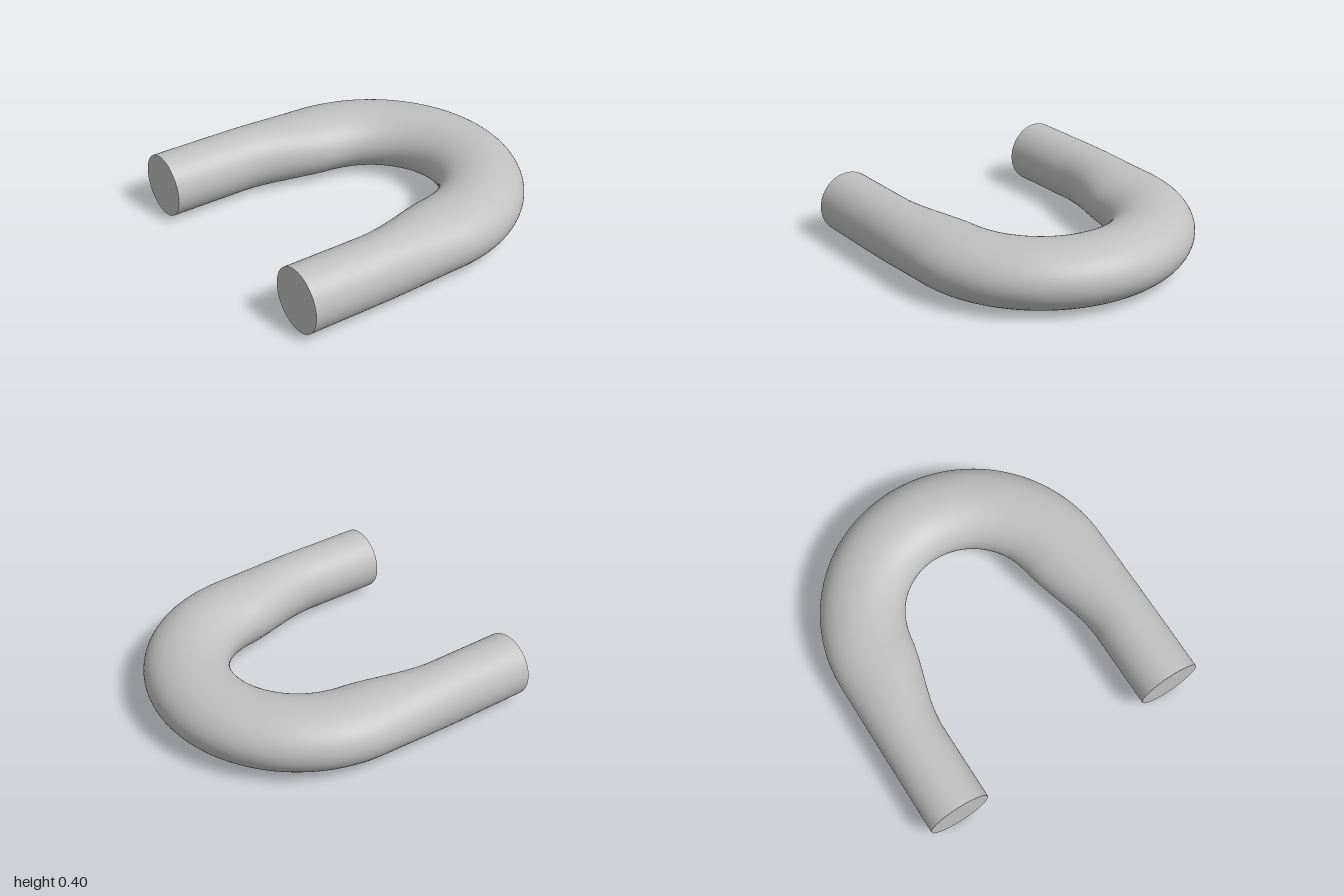
import * as THREE from 'three';

const OUTER = 0.95;      // outer radius of the bend and half width of the whole
const INNER = 0.42;      // inner radius of the bend
const LEG_INNER = 0.555; // inner side of the straight legs
const BEND_Z = -0.05;    // centre of the bend
const TAPER_Z = 0.5;     // where the legs begin to widen
const HALF_HEIGHT = 0.2;
const SIDES = 64;

// Inner side of a leg: straight, then an S-curve into the bend
function legInner(z) {
  const t = Math.max(0, (TAPER_Z - z) / (TAPER_Z - BEND_Z));
  return LEG_INNER - 0.127 * (3 * t * t - 2 * t ** 3) - 0.11 * (t ** 3 - t * t);
}

// Inner radius of the bend, settling just after the leg joins it
function bendInner(angle) {
  const fromEnd = Math.min(angle, Math.PI - angle);
  return INNER + 0.008 * Math.max(0, 1 - fromEnd / 0.3) ** 2;
}

// Cross-sections from the left leg's end, around the bend, to the right leg's end
function sections() {
  const list = [];
  const legZ = [1, 0.75];
  for (let i = 0; i < 24; i++) legZ.push(TAPER_Z + (BEND_Z - TAPER_Z) * i / 24);
  for (const z of legZ) list.push({ inner: legInner(z), dx: 1, dz: 0, z });
  for (let i = 0; i <= 72; i++) {
    const a = Math.PI * i / 72;
    list.push({ inner: bendInner(a), dx: Math.cos(a), dz: -Math.sin(a), z: BEND_Z });
  }
  for (const z of legZ.reverse()) list.push({ inner: legInner(z), dx: -1, dz: 0, z });
  return list;
}

// Smooth skin of elliptical rings
function tubeGeometry() {
  const rings = sections(), pos = [], index = [];
  rings.forEach((s, i) => {
    const mid = (OUTER + s.inner) / 2, half = (OUTER - s.inner) / 2;
    for (let j = 0; j < SIDES; j++) {
      const t = 2 * Math.PI * j / SIDES;
      const r = mid + half * Math.cos(t);
      pos.push(s.dx * r, HALF_HEIGHT * (1 + Math.sin(t)), s.z + s.dz * r);
      if (i === rings.length - 1) continue;
      const a = i * SIDES + j, b = i * SIDES + (j + 1) % SIDES;
      index.push(a, a + SIDES, b, b, a + SIDES, b + SIDES);
    }
  });
  const g = new THREE.BufferGeometry();
  g.setAttribute('position', new THREE.Float32BufferAttribute(pos, 3));
  g.setIndex(index);
  g.computeVertexNormals();
  return g;
}

export function createModel() {
  const group = new THREE.Group();
  group.name = 'bentBar';
  const grey = new THREE.MeshStandardMaterial({ color: 0xc0c0c0 });
  grey.name = 'lightGrey';

  const bar = new THREE.Mesh(tubeGeometry(), grey);
  bar.name = 'bar';
  group.add(bar);

  // Flat ends of the two legs
  for (const side of [1, -1]) {
    const cap = new THREE.Mesh(new THREE.CircleGeometry(1, SIDES), grey);
    cap.name = side > 0 ? 'leftEnd' : 'rightEnd';
    cap.scale.set((OUTER - LEG_INNER) / 2, HALF_HEIGHT, 1);
    cap.position.set(side * (OUTER + LEG_INNER) / 2, HALF_HEIGHT, 1);
    group.add(cap);
  }
  return group;
}
